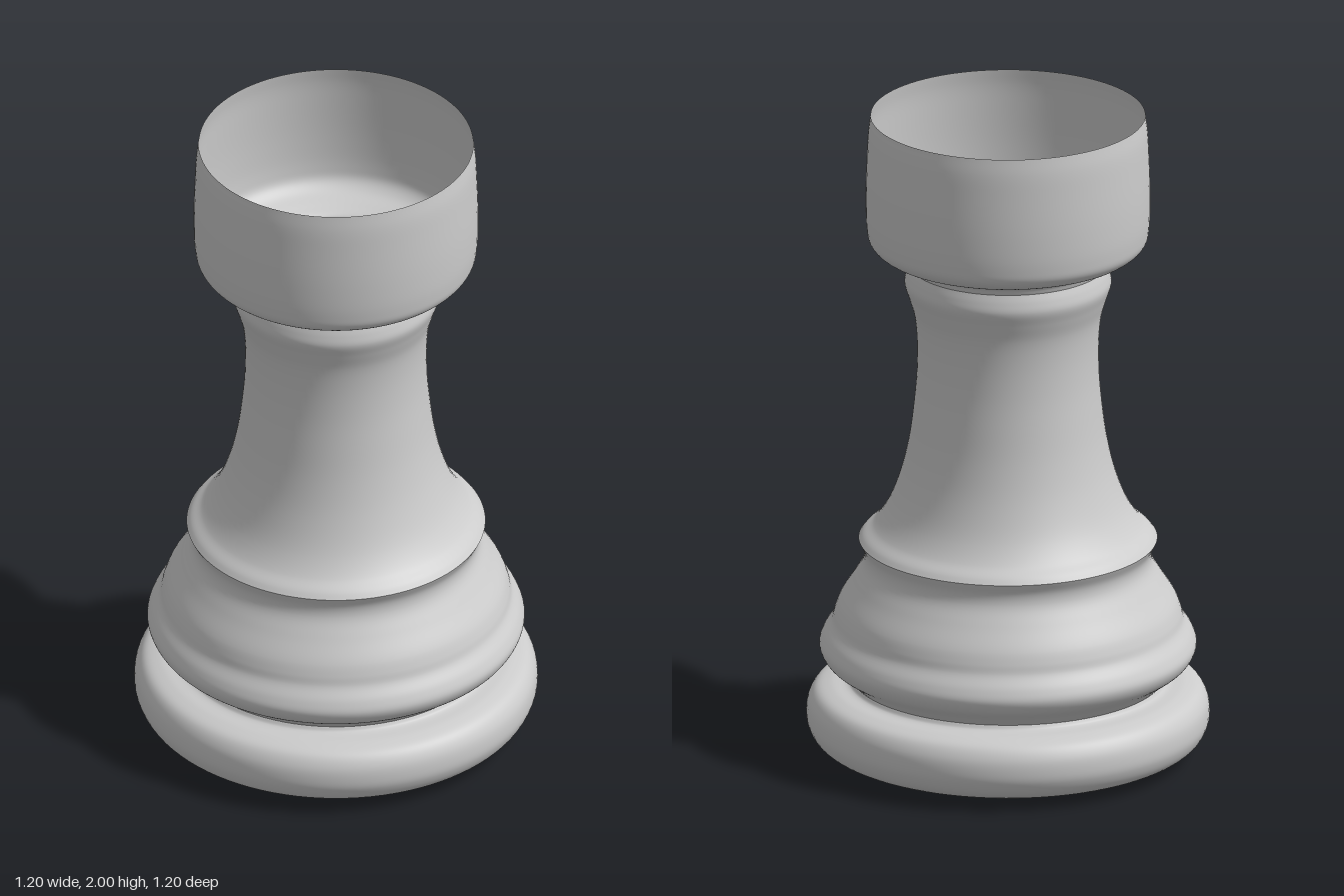
import * as THREE from 'three';

const material = new THREE.MeshStandardMaterial({ color: 0xcccccc, side: THREE.DoubleSide });

// Turned part: a smooth curve through [radius, height] points, spun about y
function turned(name, profile, steps) {
  const curve = new THREE.CatmullRomCurve3(
    profile.map(([r, y]) => new THREE.Vector3(r, y, 0)), false, 'centripetal');
  const points = curve.getPoints(steps).map((p) => new THREE.Vector2(Math.max(p.x, 0), p.y));
  const mesh = new THREE.Mesh(new THREE.LatheGeometry(points, 96), material);
  mesh.name = name;
  return mesh;
}

export function createModel() {
  const group = new THREE.Group();
  group.name = 'rook';

  group.add(
    // Rounded foot with a closed underside
    turned('base', [
      [0, 0], [0.2, 0], [0.4, 0.008], [0.52, 0.022], [0.575, 0.05], [0.598, 0.09], [0.602, 0.125],
      [0.595, 0.165], [0.572, 0.198], [0.53, 0.214], [0.48, 0.222], [0.47, 0.235],
    ], 66),
    // Bulging tier with a shallow step, flaring to a sharp rim
    turned('lowerBody', [
      [0.47, 0.235], [0.5, 0.262], [0.547, 0.298], [0.563, 0.335], [0.552, 0.37], [0.526, 0.41],
      [0.517, 0.44], [0.503, 0.475], [0.462, 0.54], [0.432, 0.595], [0.43, 0.63], [0.446, 0.667],
    ], 66),
    // Tapering concave stem, ending in a small neck ring
    turned('stem', [
      [0.446, 0.667], [0.432, 0.684], [0.4, 0.712], [0.36, 0.772], [0.322, 0.87], [0.296, 0.98],
      [0.28, 1.1], [0.272, 1.2], [0.272, 1.3], [0.28, 1.375], [0.296, 1.43], [0.309, 1.475],
      [0.304, 1.505], [0.295, 1.532],
    ], 78),
    // Thin-walled open cup
    turned('head', [
      [0.295, 1.532], [0.304, 1.551], [0.34, 1.566], [0.388, 1.584], [0.414, 1.61], [0.422, 1.65],
      [0.425, 1.75], [0.421, 1.88], [0.417, 1.95], [0.41, 2],
    ], 54),
  );
  return group;
}
